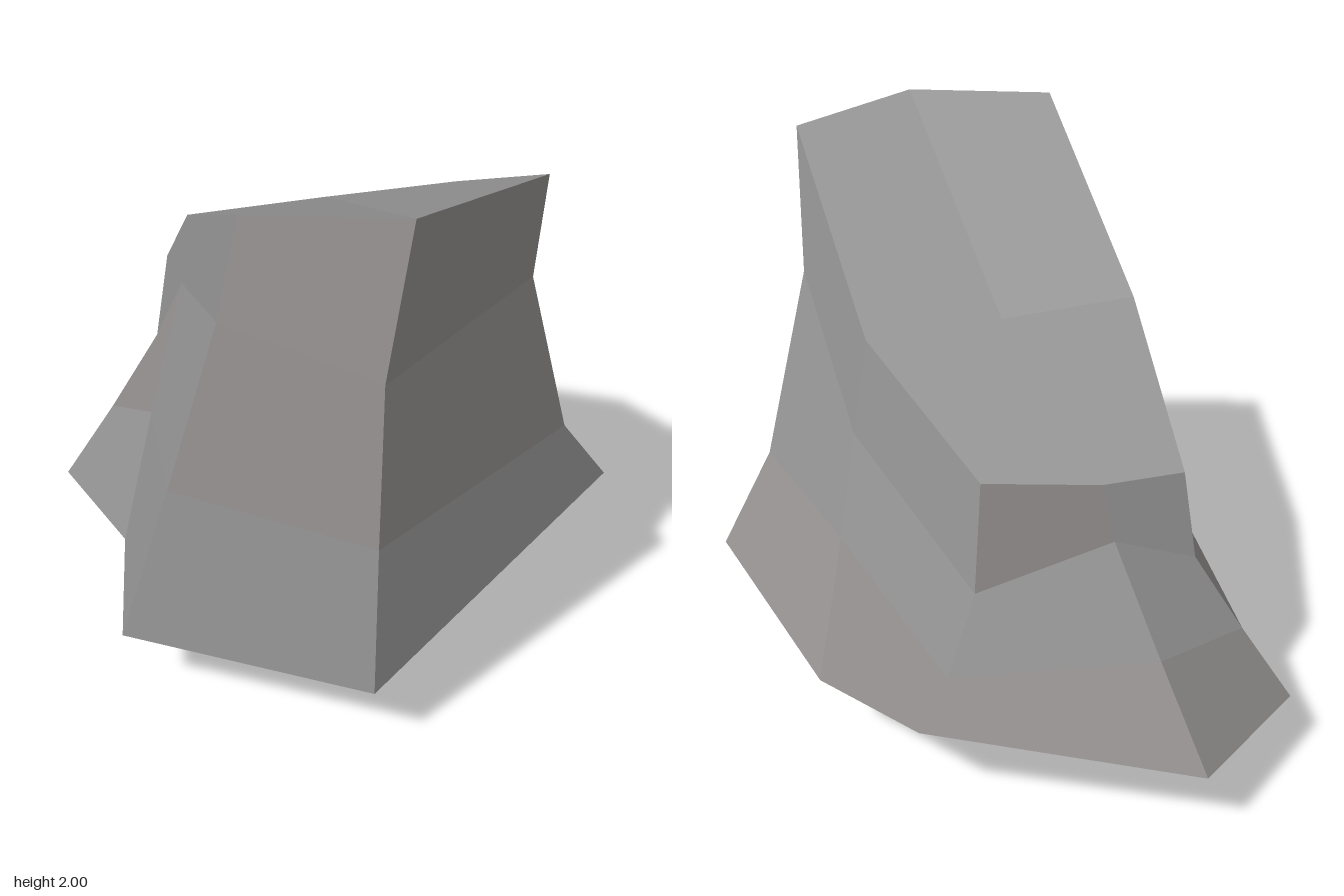
import * as THREE from 'three';

// Eight cross-section columns around the rock, counter-clockwise from the front.
// Each runs from the base rim up to the top rim.
const columns = [
  [[-0.09, 0.33, 0.83], [-0.1, 0.95, 0.88], [-0.11, 1.57, 0.94], [0, 2, 0.83]],         // front
  [[0.84, 0.66, 0.36], [0.65, 0.94, 0.43], [0.475, 1.56, 0.5], [0.43, 1.99, 0.67]],     // front left
  [[0.64, 0.33, -0.07], [0.54, 0.89, -0.07], [0.48, 1.27, -0.07], [0.43, 1.59, -0.07]], // left
  [[0.43, 0.4, -0.51], [0.33, 0.59, -0.5], [0.23, 0.88, -0.48], [0.21, 1.28, -0.48]],   // back left
  [[-0.38, 0.33, -0.94], [-0.29, 0.67, -0.74], [-0.2, 1.02, -0.55], [-0.17, 1.21, -0.51]], // back
  [[-0.84, 0.28, -0.62], [-0.66, 0.58, -0.57], [-0.49, 0.88, -0.53], [-0.44, 1.2, -0.515]], // back right
  [[-0.71, 0.33, -0.12], [-0.59, 0.86, -0.1], [-0.47, 1.35, -0.08], [-0.44, 1.59, -0.08]], // right
  [[-0.8, 0.33, 0.36], [-0.635, 0.94, 0.43], [-0.475, 1.56, 0.5], [-0.44, 1.99, 0.67]],  // front right
].map((column) => column.map((p) => new THREE.Vector3(...p)));
const bottomPoint = new THREE.Vector3(-0.04, 0, -0.09);
const topPoint = new THREE.Vector3(0, 1.59, -0.08);

// Stone tint of each side facet, per band from the bottom: n = neutral, w = warm
const tints = ['nwwwwnnn', 'wnnnnwnw', 'wnnwnnnw'];

// Mesh of four-cornered facets, each split from its first to its third corner
// and shaded evenly with one normal
function facetMesh(name, quads, material) {
  const positions = [], normals = [];
  for (const [a, b, c, d] of quads) {
    const normal = c.clone().sub(a).cross(d.clone().sub(b)).normalize();
    for (const corner of [a, b, c, a, c, d]) {
      positions.push(...corner.toArray());
      normals.push(...normal.toArray());
    }
  }
  const geometry = new THREE.BufferGeometry();
  geometry.setAttribute('position', new THREE.Float32BufferAttribute(positions, 3));
  geometry.setAttribute('normal', new THREE.Float32BufferAttribute(normals, 3));
  const mesh = new THREE.Mesh(geometry, material);
  mesh.name = name;
  return mesh;
}

export function createModel() {
  const neutral = new THREE.MeshStandardMaterial({ color: 0x989898 });
  neutral.name = 'neutral stone';
  const warm = new THREE.MeshStandardMaterial({ color: 0x989393 });
  warm.name = 'warm stone';

  // Side facets, three bands high, folded along the shorter diagonal
  const sides = { n: [], w: [] };
  columns.forEach((col, i) => {
    const next = columns[(i + 1) % 8];
    for (let band = 0; band < 3; band++) {
      const a = col[band], b = next[band], c = next[band + 1], d = col[band + 1];
      const quad = a.distanceTo(c) < b.distanceTo(d) ? [a, b, c, d] : [b, c, d, a];
      sides[tints[band][i]].push(quad);
    }
  });

  // Sloped top and pointed underside: four facets each, one per corner column
  const top = [], underside = [];
  for (let i = 1; i < 8; i += 2) {
    const prev = columns[i - 1], corner = columns[i], next = columns[(i + 1) % 8];
    top.push([topPoint, prev[3], corner[3], next[3]]);
    underside.push(i % 4 === 1
      ? [bottomPoint, next[0], corner[0], prev[0]]
      : [next[0], corner[0], prev[0], bottomPoint]);
  }

  const group = new THREE.Group();
  group.name = 'rock';
  group.add(
    facetMesh('neutralSides', sides.n, neutral),
    facetMesh('warmSides', sides.w, warm),
    facetMesh('slopedTop', top, neutral),
    facetMesh('underside', underside, neutral),
  );
  return group;
}
